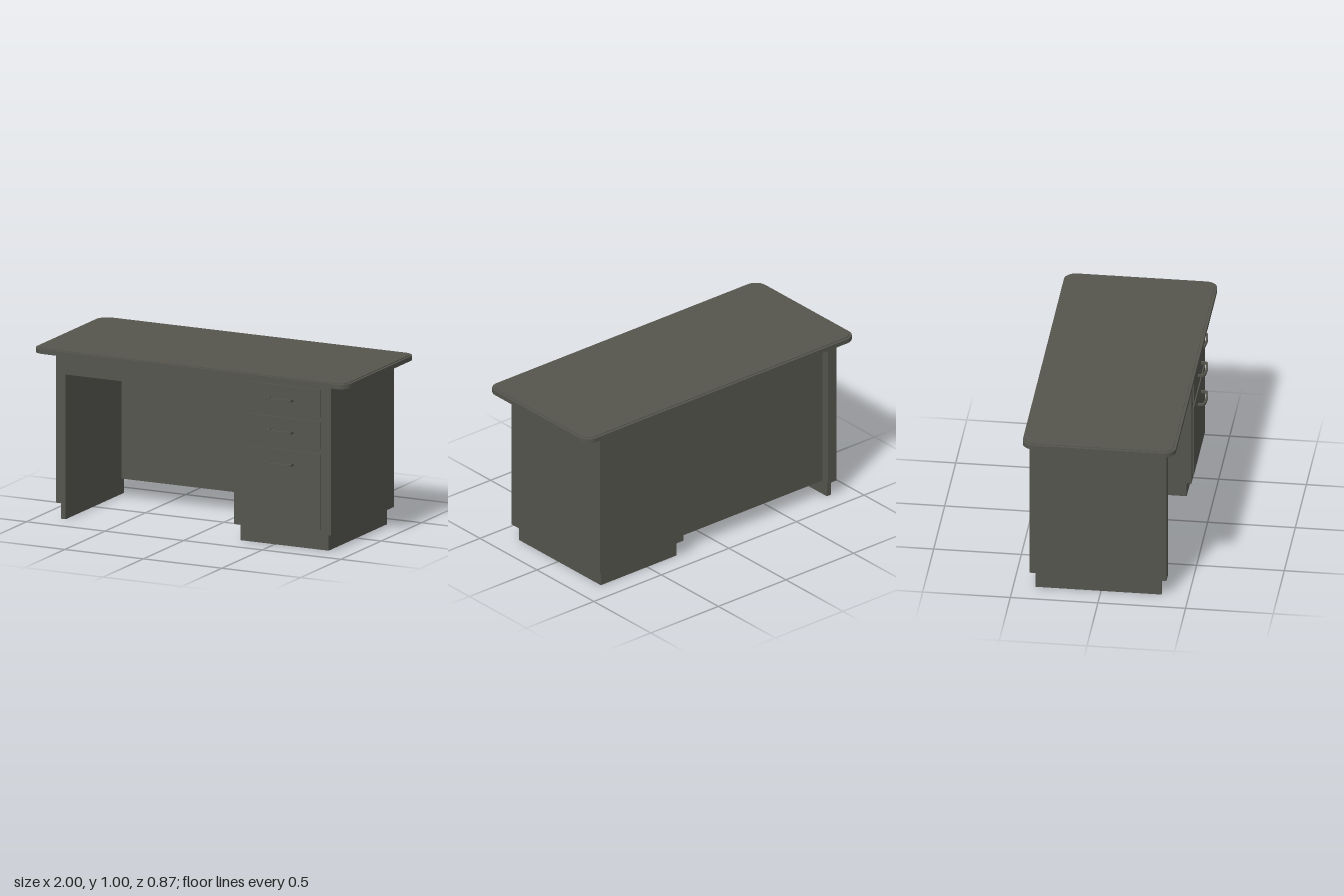
import * as THREE from 'three';

export function createModel() {
  const desk = new THREE.Group();
  desk.name = 'desk';
  const paint = new THREE.MeshStandardMaterial({ color: 0x55554e });
  paint.name = 'dark grey paint';

  function add(name, geometry) {
    const mesh = new THREE.Mesh(geometry, paint);
    mesh.name = name;
    desk.add(mesh);
    return mesh;
  }

  // Box given by its extents on each axis
  function box(name, x0, x1, y0, y1, z0, z1) {
    const mesh = add(name, new THREE.BoxGeometry(x1 - x0, y1 - y0, z1 - z0));
    mesh.position.set((x0 + x1) / 2, (y0 + y1) / 2, (z0 + z1) / 2);
  }

  // Flat plate with rounded corners, lying from y0 to y1
  function roundedSlab(name, w, d, r, y0, y1) {
    const s = new THREE.Shape();
    s.absarc(w - r, d - r, r, 0, Math.PI / 2);
    s.absarc(-w + r, d - r, r, Math.PI / 2, Math.PI);
    s.absarc(-w + r, -d + r, r, Math.PI, Math.PI * 1.5);
    s.absarc(w - r, -d + r, r, Math.PI * 1.5, Math.PI * 2);
    const g = new THREE.ExtrudeGeometry(s, { depth: y1 - y0, bevelEnabled: false, curveSegments: 8 });
    g.rotateX(-Math.PI / 2);
    add(name, g).position.y = y0;
  }

  // Worktop with a thin inset surface
  roundedSlab('worktop', 1, 0.437, 0.07, 0.97, 0.996);
  roundedSlab('worktopSurface', 0.984, 0.421, 0.056, 0.996, 1);

  // Drawer pedestal and side panel, each on a recessed plinth
  box('pedestal', 0.255, 0.873, 0.098, 0.97, -0.405, 0.375);
  box('pedestalPlinth', 0.283, 0.843, 0, 0.098, -0.375, 0.345);
  box('sidePanel', -0.875, -0.815, 0.098, 0.97, -0.405, 0.375);
  box('sidePanelPlinth', -0.86, -0.83, 0, 0.098, -0.375, 0.345);

  // Recessed back panel and front rail over the knee space
  box('backPanel', -0.815, 0.255, 0.098, 0.97, -0.355, -0.315);
  box('frontRail', -0.815, 0.255, 0.85, 0.97, 0.335, 0.374);

  // Bow handle outline seen from above, x across and y outwards
  const bow = new THREE.Shape();
  bow.moveTo(-0.08, 0);
  bow.lineTo(-0.08, 0.025);
  bow.quadraticCurveTo(-0.08, 0.04, -0.06, 0.044);
  bow.quadraticCurveTo(0, 0.054, 0.06, 0.044);
  bow.quadraticCurveTo(0.08, 0.04, 0.08, 0.025);
  bow.lineTo(0.08, 0);
  bow.lineTo(0.068, 0);
  bow.lineTo(0.068, 0.023);
  bow.quadraticCurveTo(0.068, 0.03, 0.056, 0.033);
  bow.quadraticCurveTo(0, 0.042, -0.056, 0.033);
  bow.quadraticCurveTo(-0.068, 0.03, -0.068, 0.023);
  bow.lineTo(-0.068, 0);
  const handle = new THREE.ExtrudeGeometry(bow, { depth: 0.014, bevelEnabled: false, curveSegments: 8 });
  handle.rotateX(Math.PI / 2);

  // Drawer fronts with their handles: bottom, top, handle height
  [[0.783, 0.94, 0.861], [0.594, 0.754, 0.674], [0.125, 0.565, 0.486]].forEach(([y0, y1, h], i) => {
    box('drawerFront' + (i + 1), 0.313, 0.81, y0, y1, 0.375, 0.383);
    add('drawerHandle' + (i + 1), handle).position.set(0.56, h + 0.007, 0.381);
  });

  return desk;
}
